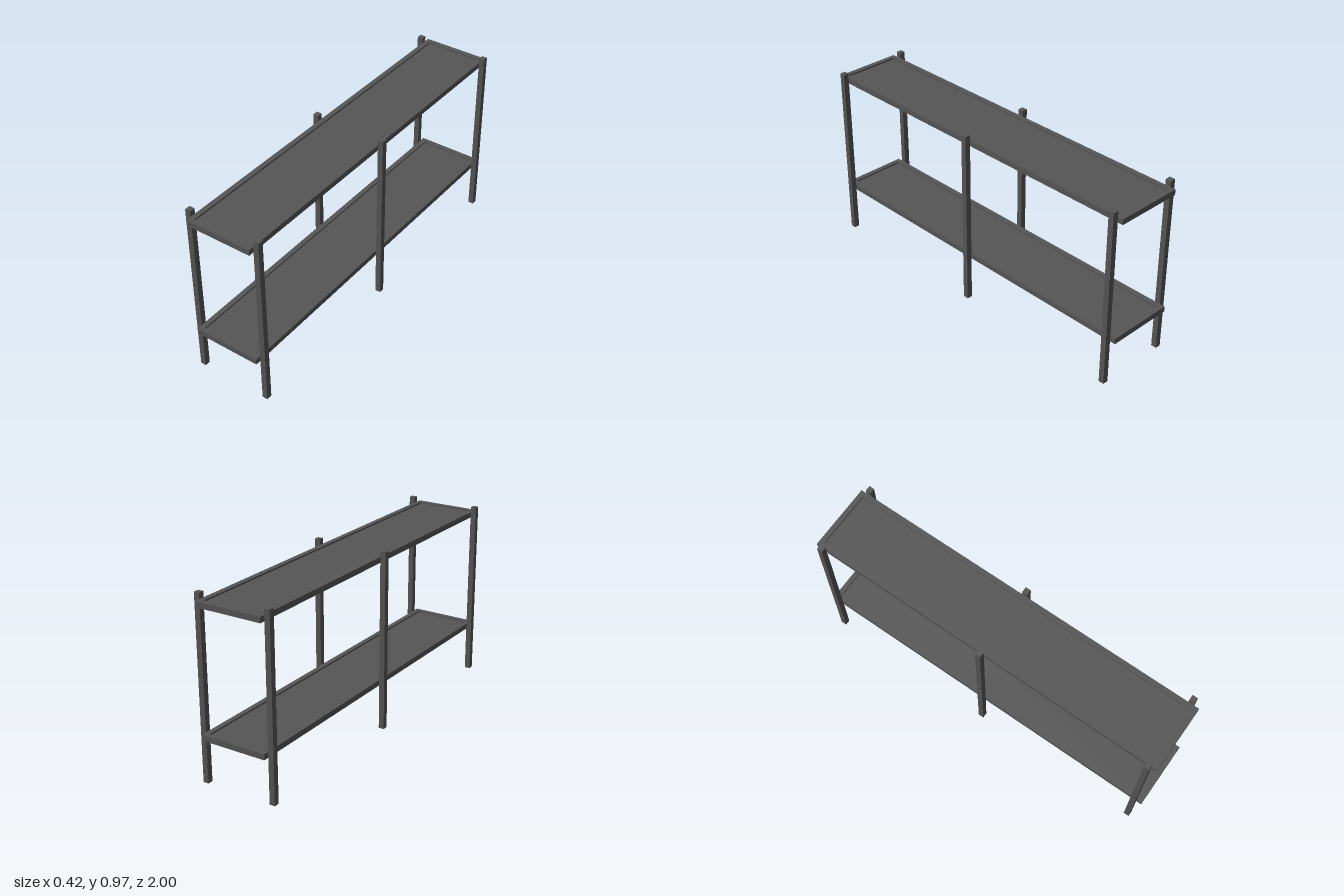
import * as THREE from 'three';

export function createModel() {
  const group = new THREE.Group();
  const darkSteel = new THREE.MeshStandardMaterial({ color: 0x555555 });
  darkSteel.name = 'dark grey steel';

  const addBox = (parent, name, [w, h, d], [x, y, z]) => {
    const mesh = new THREE.Mesh(new THREE.BoxGeometry(w, h, d), darkSteel);
    mesh.name = name;
    mesh.position.set(x, y, z);
    parent.add(mesh);
  };

  const bar = 0.03, halfWidth = 0.182, halfLength = 1, height = 0.97, rim = 0.027;

  // Three pairs of square posts outside the shelves
  for (const z of [-0.955, 0, 0.955]) {
    for (const side of [-1, 1]) {
      addBox(group, side > 0 ? 'leftPost' : 'rightPost',
        [bar, height, bar], [side * (halfWidth + bar / 2), height / 2, z]);
    }
  }

  // Two tray shelves: a bar frame around a recessed panel
  for (const [name, y] of [['lowerShelf', 0.258], ['upperShelf', 0.925]]) {
    const shelf = new THREE.Group();
    shelf.name = name;
    shelf.position.y = y;
    for (const side of [-1, 1]) {
      addBox(shelf, 'longRail', [rim, bar, halfLength * 2], [side * (halfWidth - rim / 2), 0, 0]);
      addBox(shelf, 'endRail', [2 * (halfWidth - rim), bar, rim], [0, 0, side * (halfLength - rim / 2)]);
    }
    addBox(shelf, 'shelfPanel', [2 * (halfWidth - rim), 0.018, 2 * (halfLength - rim)], [0, -0.003, 0]);
    group.add(shelf);
  }

  return group;
}
